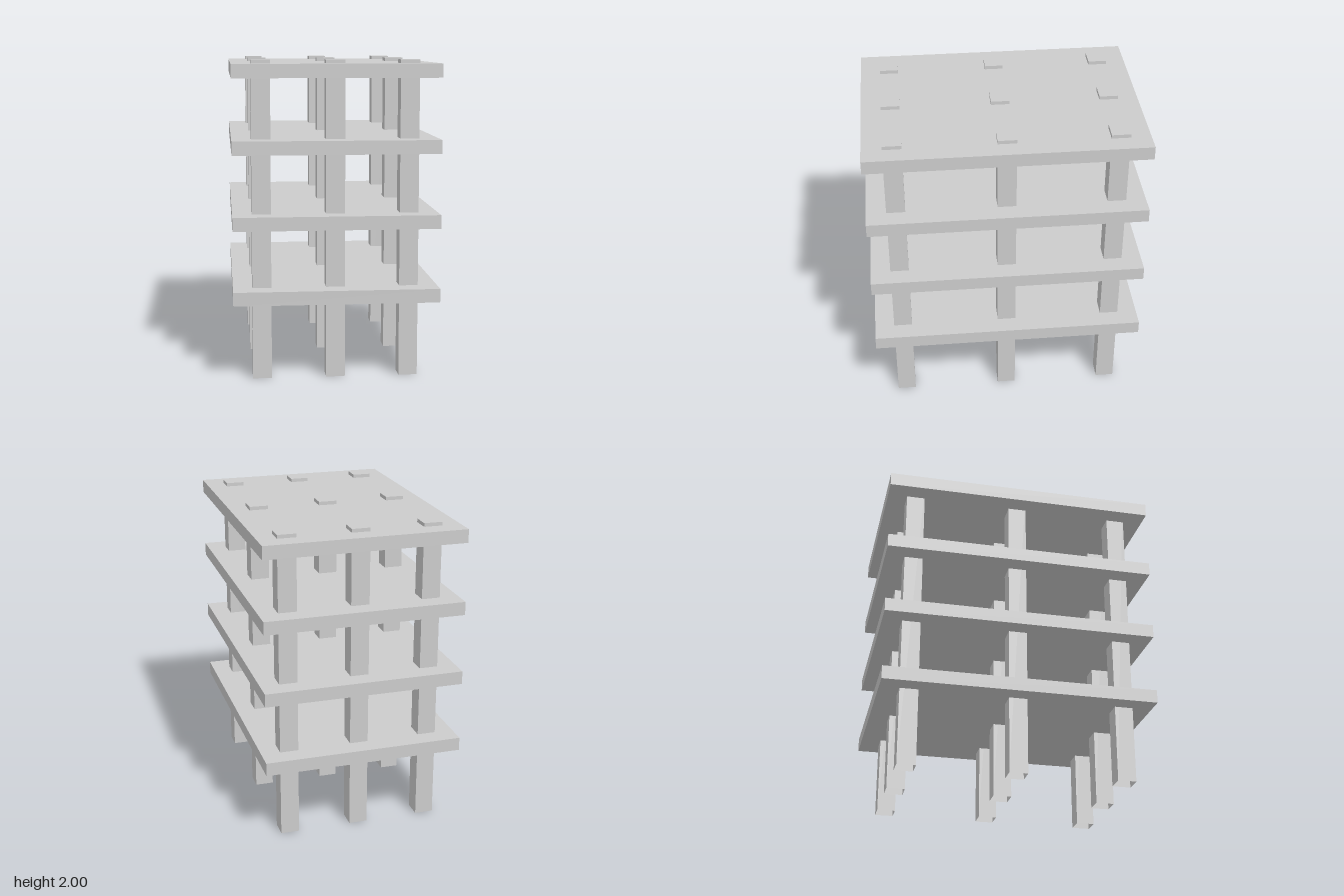
import * as THREE from 'three';

const HEIGHT = 2, COLUMN = 0.119, SPACING_X = 0.463, SPACING_Z = 0.695;
const SLAB = { width: 1.288, thickness: 0.086, depth: 1.762 };
const FLOORS = 4, FIRST_FLOOR = 0.539, STOREY = 0.465;

// Square column with a closed top and an open foot
function columnGeometry() {
  const geo = new THREE.BoxGeometry(COLUMN, HEIGHT, COLUMN);
  const index = Array.from(geo.index.array);
  index.splice(18, 6); // drop the bottom face
  geo.setIndex(index);
  geo.clearGroups();
  return geo.translate(0, HEIGHT / 2, 0);
}

export function createModel() {
  const model = new THREE.Group();
  model.name = 'buildingFrame';
  const slabMaterial = new THREE.MeshStandardMaterial({ color: 0xcccccc });
  const columnMaterial = new THREE.MeshStandardMaterial({ color: 0xcccccc, side: THREE.DoubleSide });

  // Three by three grid of full-height columns
  const columns = new THREE.Group();
  columns.name = 'columns';
  const columnGeo = columnGeometry();
  for (const i of [-1, 0, 1]) {
    for (const k of [-1, 0, 1]) {
      const column = new THREE.Mesh(columnGeo, columnMaterial);
      column.name = 'column';
      column.position.set(i * SPACING_X, 0, k * SPACING_Z);
      columns.add(column);
    }
  }

  // Evenly stacked floor slabs, the last one being the roof
  const slabs = new THREE.Group();
  slabs.name = 'slabs';
  const slabGeo = new THREE.BoxGeometry(SLAB.width, SLAB.thickness, SLAB.depth);
  for (let f = 0; f < FLOORS; f++) {
    const slab = new THREE.Mesh(slabGeo, slabMaterial);
    slab.name = f === FLOORS - 1 ? 'roofSlab' : 'floorSlab';
    slab.position.y = FIRST_FLOOR + f * STOREY;
    slabs.add(slab);
  }

  model.add(columns, slabs);
  return model;
}
